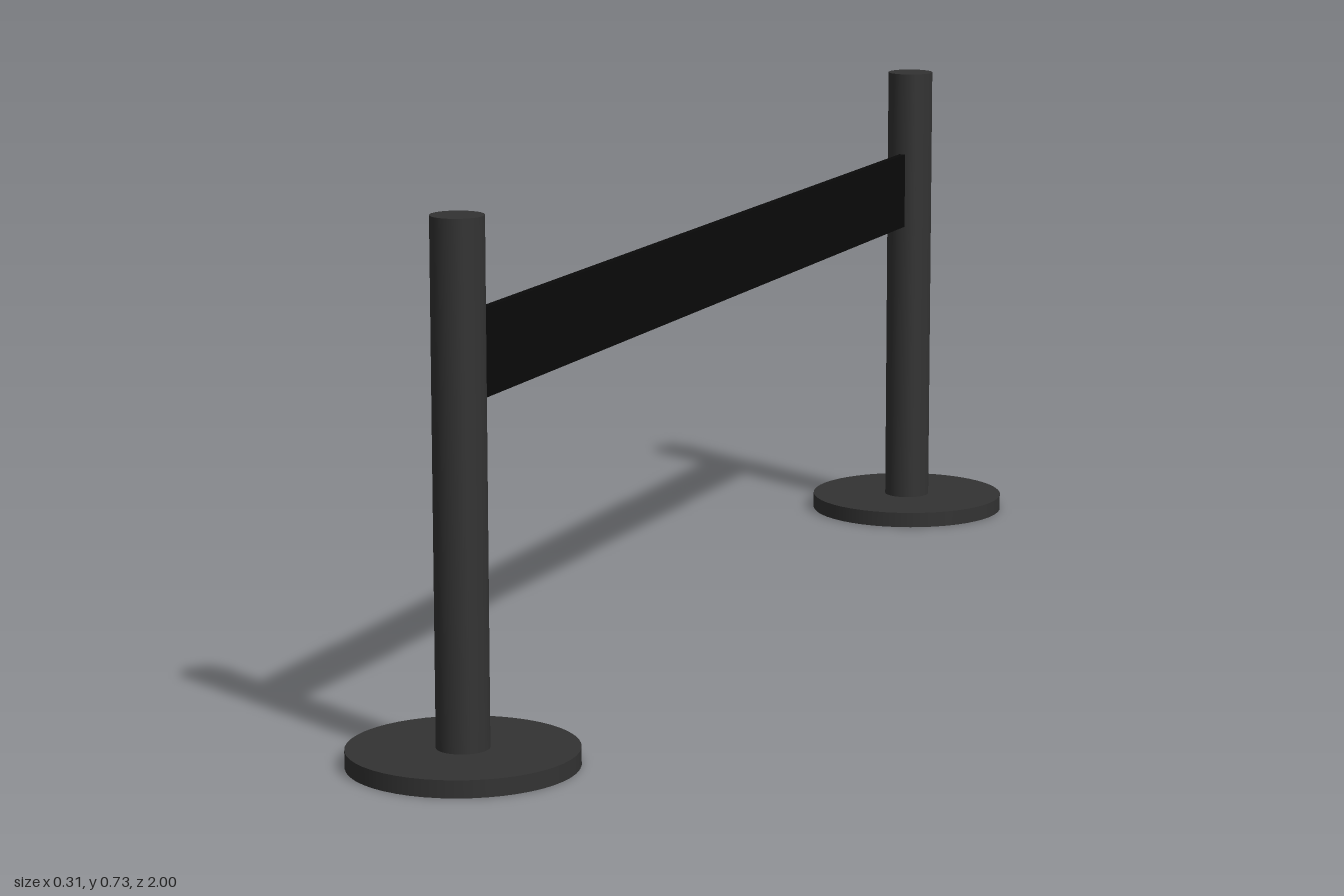
import * as THREE from 'three';

const postMaterial = new THREE.MeshStandardMaterial({ color: 0x333333 });
const beltMaterial = new THREE.MeshStandardMaterial({ color: 0x0a0a0a });

const BASE_RADIUS = 0.156, BASE_HEIGHT = 0.024;
const POST_RADIUS = 0.036, POST_TOP = 0.732;
const POST_Z = 1 - BASE_RADIUS;

function cylinder(name, radius, bottom, top) {
  const geometry = new THREE.CylinderGeometry(radius, radius, top - bottom, 48);
  const mesh = new THREE.Mesh(geometry, postMaterial);
  mesh.name = name;
  mesh.position.y = (bottom + top) / 2;
  return mesh;
}

export function createModel() {
  const model = new THREE.Group();
  model.name = 'beltBarrier';

  // Two matching stanchions: a flat disc base carrying a round post
  for (const side of [1, -1]) {
    const stanchion = new THREE.Group();
    stanchion.name = side > 0 ? 'frontStanchion' : 'backStanchion';
    stanchion.add(
      cylinder('base', BASE_RADIUS, 0, BASE_HEIGHT),
      cylinder('post', POST_RADIUS, BASE_HEIGHT, POST_TOP)
    );
    stanchion.position.z = side * POST_Z;
    model.add(stanchion);
  }

  // Thin flat belt stretched between the posts, ends just inside them
  const beltLength = 2 * (POST_Z - POST_RADIUS + 0.003);
  const belt = new THREE.Mesh(new THREE.BoxGeometry(0.01, 0.12, beltLength), beltMaterial);
  belt.name = 'belt';
  belt.position.y = 0.54;
  model.add(belt);

  return model;
}
